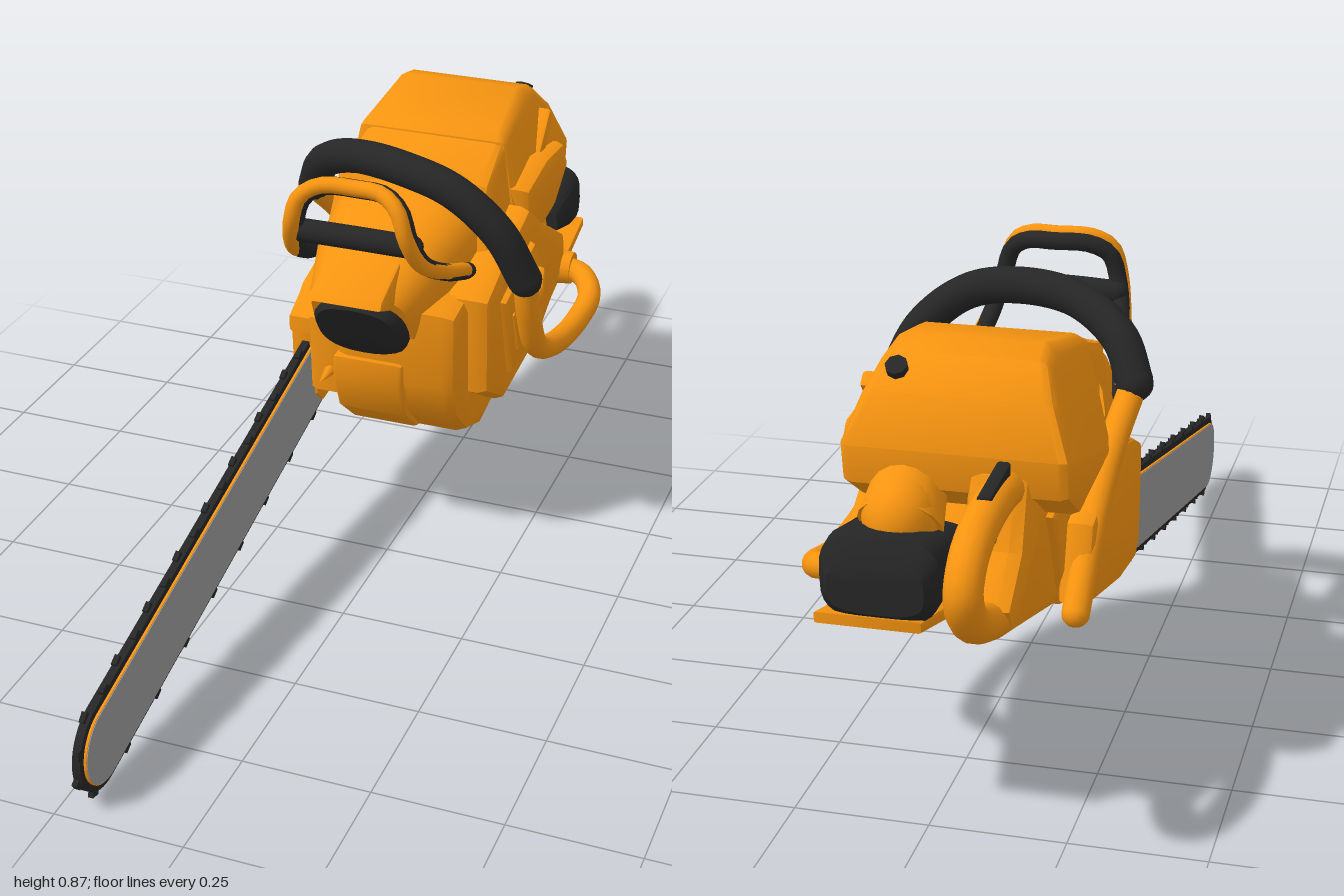
import * as THREE from 'three';
import { toCreasedNormals } from 'three/addons/utils/BufferGeometryUtils.js';

const material = (color) => new THREE.MeshStandardMaterial({ color, side: THREE.DoubleSide });
const orange = material(0xf79410), black = material(0x262626), grey = material(0x999999);
const V = (p) => new THREE.Vector3(...p);

export function createModel() {
  const root = new THREE.Group();
  const add = (name, geometry, mat = orange, parent = root) => {
    const mesh = new THREE.Mesh(geometry, mat);
    mesh.name = name;
    parent.add(mesh);
    return mesh;
  };

  // Side outline (a Shape or [z, y] points), extruded from x0 to x1; taper narrows it towards the top
  const prism = (outline, x0, x1, bevel = 0.015, taper = 0, yBase = 0.6) => {
    const shape = outline instanceof THREE.Shape ? outline
      : new THREE.Shape(outline.map(([z, y]) => new THREE.Vector2(z, y)));
    const g = new THREE.ExtrudeGeometry(shape, {
      depth: x1 - x0 - 2 * bevel, bevelEnabled: bevel > 0, bevelSize: bevel,
      bevelThickness: bevel, bevelOffset: -bevel, bevelSegments: 2, curveSegments: 16,
    });
    g.rotateY(-Math.PI / 2).translate(x1 - bevel, 0, 0);
    const p = g.attributes.position, mid = (x0 + x1) / 2;
    for (let i = 0; i < p.count; i++) {
      const k = 1 - taper * Math.max(0, p.getY(i) - yBase);
      p.setX(i, mid + (p.getX(i) - mid) * k);
    }
    return toCreasedNormals(g, 0.6);
  };

  // Rounded cross-sections [z, x, y, rx, ry] in rising z; shear leans the sections forward
  const loft = (sections, power = 0.7, shear = 0, yMid = 0, n = 28) => {
    const pos = [], idx = [];
    const point = (z, x, y) => pos.push(x, y, z + (y - yMid) * shear);
    const round = (v) => Math.sign(v) * Math.abs(v) ** power;
    for (const [z, x, y, rx, ry] of sections)
      for (let j = 0; j < n; j++) {
        const a = (j / n) * Math.PI * 2;
        point(z, x + rx * round(Math.cos(a)), y + ry * round(Math.sin(a)));
      }
    const last = sections.length - 1, c0 = sections.length * n;
    for (const s of [sections[0], sections[last]]) point(s[0], s[1], s[2]);
    for (let j = 0; j < n; j++) {
      const k = (j + 1) % n;
      for (let i = 0; i < last; i++) {
        const a = i * n + j, b = i * n + k;
        idx.push(a, b, b + n, a, b + n, a + n);
      }
      idx.push(c0, k, j, c0 + 1, last * n + j, last * n + k);
    }
    const g = new THREE.BufferGeometry();
    g.setAttribute('position', new THREE.Float32BufferAttribute(pos, 3));
    g.setIndex(idx);
    return toCreasedNormals(g, 0.7);
  };

  // Round tube with domed ends
  const tube = (name, points, r, mat = orange) => {
    const curve = new THREE.CatmullRomCurve3(points.map(V));
    add(name, new THREE.TubeGeometry(curve, 48, r, 14), mat);
    for (const p of [points[0], points.at(-1)])
      add(name + 'End', new THREE.SphereGeometry(r, 14, 10).translate(...p), mat);
  };

  // Crankcase, with chamfered nose and a flat underside rising to the back
  add('crankcase', prism([[0, 0.57], [0, 0.41], [-0.03, 0.33], [-0.1, 0.262], [-0.19, 0.23], [-0.28, 0.25],
    [-0.5, 0.32], [-0.7, 0.4], [-0.64, 0.53], [-0.3, 0.62]], -0.115, 0.145, 0.03));
  add('noseBand', prism([[0.012, 0.45], [0.012, 0.4], [-0.02, 0.32], [-0.09, 0.26], [-0.2, 0.235], [-0.2, 0.45]], -0.115, 0.035, 0.01));
  add('innerBlock', prism([[-0.04, 0.5], [-0.05, 0.33], [-0.15, 0.275], [-0.5, 0.34], [-0.6, 0.55], [-0.2, 0.62]], -0.19, -0.09));
  add('basePlate', prism([[-0.42, 0.3], [-0.835, 0.42], [-0.835, 0.44], [-0.42, 0.335]], -0.02, 0.17, 0.005));

  // Top cover: sloped sides, a front section and a raised rear section
  add('topCoverFront', prism([[-0.18, 0.58], [-0.235, 0.755], [-0.38, 0.803], [-0.42, 0.58]], -0.215, 0.15, 0.02, 1.6, 0.68));
  add('topCoverRear', prism([[-0.35, 0.58], [-0.36, 0.8], [-0.385, 0.815], [-0.55, 0.85], [-0.61, 0.835],
    [-0.665, 0.78], [-0.7, 0.69], [-0.69, 0.62], [-0.6, 0.56]], -0.24, 0.165, 0.02, 2.2, 0.7));
  add('coverSidePanel', prism([[-0.36, 0.7], [-0.5, 0.72], [-0.62, 0.71], [-0.66, 0.65], [-0.56, 0.58], [-0.38, 0.56]], 0.1, 0.18, 0.02));
  add('coverRib', prism([[-0.5, 0.69], [-0.6, 0.79], [-0.62, 0.77], [-0.53, 0.66]], 0.08, 0.15, 0.008));
  add('coverScrew', new THREE.CylinderGeometry(0.02, 0.02, 0.04, 8).rotateX(-0.65).translate(0.075, 0.805, -0.63), black);

  // Front hood and muffler, leaning forward
  add('hood', loft([[-0.38, -0.04, 0.59, 0.18, 0.16], [-0.15, -0.04, 0.58, 0.15, 0.125],
    [-0.02, -0.045, 0.545, 0.118, 0.1], [0.01, -0.045, 0.54, 0.105, 0.085]], 0.7, 0.55, 0.53));
  add('muffler', loft([[-0.05, -0.045, 0.532, 0.095, 0.073], [0.03, -0.045, 0.532, 0.095, 0.073],
    [0.045, -0.045, 0.532, 0.085, 0.064]], 0.8, 0.58, 0.53), black);
  add('visor', prism([[0.122, 0.625], [0.11, 0.638], [-0.08, 0.69], [-0.08, 0.62], [0.07, 0.603]], -0.125, 0.035, 0.006, 2, 0.61));

  // Starter housing on the left side
  add('starterHousing', prism([[-0.07, 0.58], [-0.2, 0.63], [-0.35, 0.67], [-0.45, 0.6], [-0.62, 0.5], [-0.63, 0.42],
    [-0.43, 0.32], [-0.2, 0.295], [-0.08, 0.37]], 0.08, 0.19, 0.025));
  add('starterPanel', prism([[-0.14, 0.55], [-0.34, 0.6], [-0.42, 0.5], [-0.41, 0.38], [-0.2, 0.36]], 0.15, 0.205, 0.015));
  for (let i = 0; i < 4; i++)
    add('starterVent', new THREE.BoxGeometry(0.01, 0.1, 0.01).rotateX(0.35).translate(0.203, 0.46 + i * 0.012, -0.2 - i * 0.045));
  add('starterGrip', loft([[-0.35, 0.21, 0.52, 0.012, 0.02], [-0.3, 0.215, 0.5, 0.02, 0.025], [-0.26, 0.21, 0.48, 0.012, 0.02]]));

  // Clutch cover on the right side, around the bar
  add('clutchCover', prism([[-0.065, 0.48], [-0.075, 0.3], [-0.11, 0.268], [-0.25, 0.285], [-0.54, 0.36], [-0.5, 0.5],
    [-0.25, 0.56], [-0.13, 0.53]], -0.24, -0.18, 0.015));
  add('clutchCoverTop', prism([[-0.05, 0.49], [-0.05, 0.455], [-0.2, 0.49], [-0.2, 0.55], [-0.13, 0.53]], -0.235, -0.14, 0.008));
  add('bumperSpike', new THREE.ConeGeometry(0.012, 0.06, 6).rotateX(Math.PI / 2).translate(-0.14, 0.385, -0.01));

  // Guide bar and chain, in a frame that starts at the nose of the bar and runs back
  const cutter = new THREE.Group();
  cutter.name = 'cutter';
  cutter.position.set(-0.204, 0.104, 0.9);
  cutter.rotation.x = 0.234;
  root.add(cutter);
  const length = 1.1;
  const stadium = (r) => {
    const s = new THREE.Shape();
    s.absarc(0, 0, r, -Math.PI / 2, Math.PI / 2, false);
    s.absarc(-length, 0, r, Math.PI / 2, Math.PI * 1.5, false);
    s.closePath();
    return s;
  };
  add('barCore', prism(stadium(0.077), -0.013, 0.013, 0), orange, cutter);
  add('barFaces', prism(stadium(0.075), -0.0145, 0.0145, 0), grey, cutter);
  const loop = stadium(0.09);
  loop.holes.push(stadium(0.07));
  add('chain', prism(loop, -0.008, 0.008, 0), black, cutter);
  const path = stadium(0.092), count = 42;
  for (let i = 0; i < count; i++) {
    const p = path.getPointAt(i / count), t = path.getTangentAt(i / count);
    const tooth = add('tooth', new THREE.BoxGeometry(0.01, 0.013, 0.02), black, cutter);
    tooth.position.set(i % 2 ? 0.003 : -0.003, p.y, p.x);
    tooth.rotation.x = -Math.atan2(t.y, t.x) + 0.25;
  }

  // Wrap-around front handle: black grip over the top, orange legs down both sides
  tube('frontHandleGrip', [[-0.262, 0.69, -0.27], [-0.225, 0.76, -0.23], [-0.13, 0.81, -0.17], [0, 0.815, -0.125],
    [0.1, 0.79, -0.11], [0.19, 0.715, -0.115], [0.24, 0.61, -0.14]], 0.035, black);
  tube('frontHandleLeftLeg', [[0.24, 0.62, -0.14], [0.243, 0.52, -0.165], [0.246, 0.43, -0.215], [0.255, 0.39, -0.3],
    [0.266, 0.375, -0.45], [0.266, 0.395, -0.55], [0.23, 0.415, -0.6], [0.15, 0.42, -0.61]], 0.025);
  tube('frontHandleRightLeg', [[-0.258, 0.68, -0.27], [-0.24, 0.6, -0.355], [-0.225, 0.48, -0.455], [-0.22, 0.355, -0.56]], 0.026);
  add('handleMount', new THREE.CylinderGeometry(0.035, 0.04, 0.05, 16).rotateZ(-Math.PI / 2).translate(0.185, 0.42, -0.61));

  // Hand guard: arched orange frame, black backing and crossbar
  const guard = [[-0.2, 0.62, -0.12], [-0.188, 0.66, -0.02], [-0.17, 0.715, 0.07], [-0.155, 0.78, 0.11], [-0.138, 0.835, 0.108],
    [-0.1, 0.858, 0.095], [-0.03, 0.86, 0.09], [0.025, 0.858, 0.095], [0.06, 0.835, 0.108], [0.078, 0.78, 0.11],
    [0.092, 0.715, 0.07], [0.108, 0.66, -0.02], [0.12, 0.62, -0.12]];
  tube('handGuard', guard, 0.016);
  tube('guardBacking', guard.map(([x, y, z]) => [x, y - 0.01, z - 0.02]), 0.0175, black);
  tube('guardCrossbar', [[-0.155, 0.752, 0.08], [-0.04, 0.755, 0.085], [0.08, 0.752, 0.08]], 0.023, black);

  // Rear handle loop with its base, trigger and lock
  tube('rearHandle', [[-0.13, 0.62, -0.62], [-0.13, 0.643, -0.74], [-0.13, 0.638, -0.86], [-0.13, 0.61, -0.935], [-0.13, 0.56, -0.967],
    [-0.13, 0.505, -0.935], [-0.13, 0.46, -0.85], [-0.13, 0.42, -0.72], [-0.13, 0.38, -0.58]], 0.033);
  add('rearHandleBase', prism([[-0.45, 0.32], [-0.8, 0.42], [-0.83, 0.47], [-0.74, 0.54], [-0.7, 0.66], [-0.5, 0.66]], -0.175, -0.06, 0.03));
  add('triggerLock', prism([[-0.71, 0.69], [-0.84, 0.678], [-0.84, 0.65], [-0.71, 0.65]], -0.143, -0.117, 0.006), black);
  add('trigger', prism([[-0.73, 0.63], [-0.83, 0.62], [-0.8, 0.58]], -0.14, -0.12, 0.004), black);

  // Rear intake housing, a rounded wedge
  add('rearBlock', loft([[-0.835, 0.06, 0.49, 0.085, 0.045], [-0.81, 0.06, 0.5, 0.105, 0.078],
    [-0.76, 0.06, 0.505, 0.11, 0.07], [-0.63, 0.06, 0.51, 0.105, 0.03]], 0.6), black);
  add('intakeDome', new THREE.SphereGeometry(0.075, 20, 14).scale(0.9, 1, 1).translate(0.05, 0.575, -0.71));
  add('intakeNeck', new THREE.CylinderGeometry(0.06, 0.075, 0.12, 18).rotateX(0.9).translate(0.05, 0.6, -0.67));
  return root;
}
